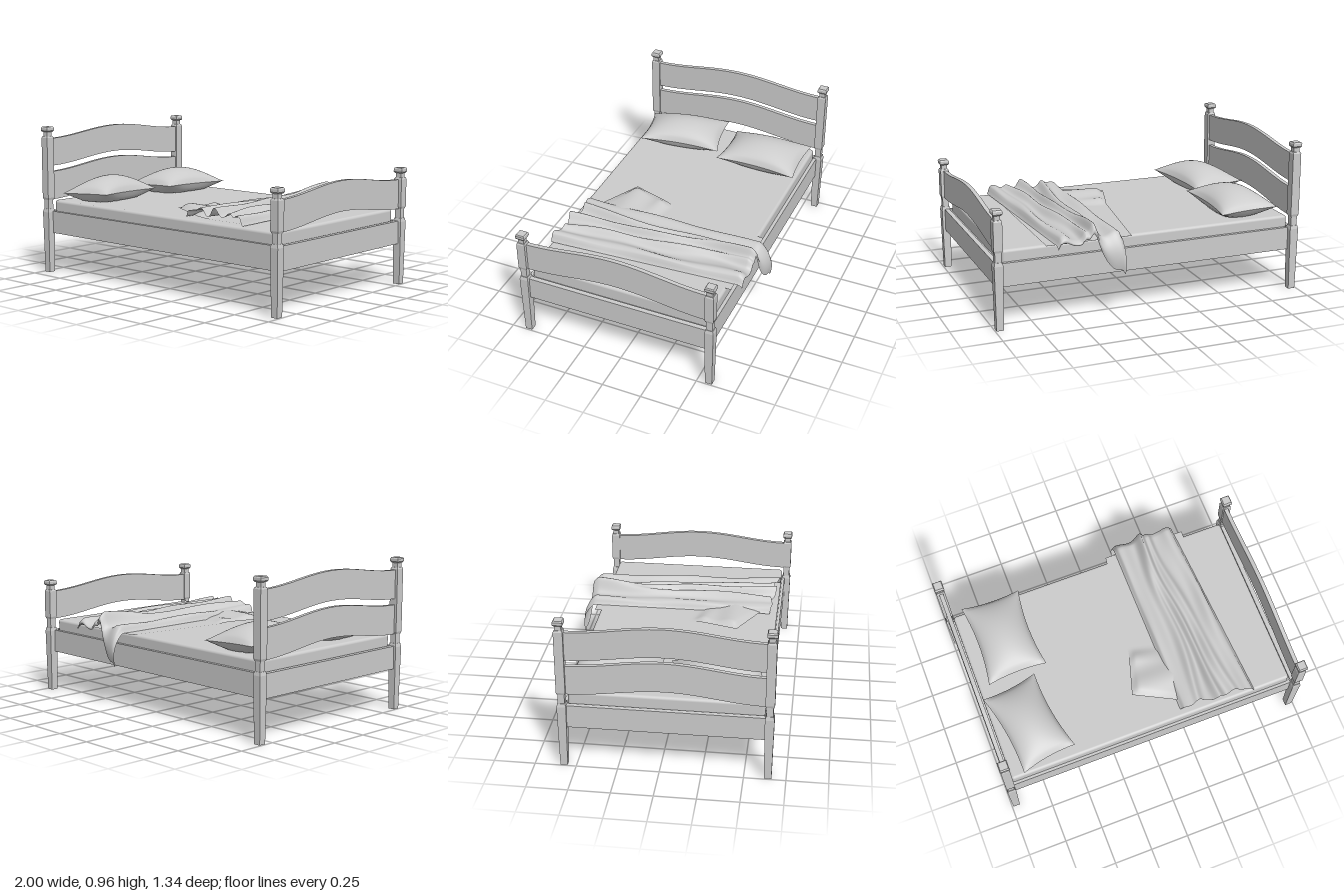
import * as THREE from 'three';
import { RoundedBoxGeometry } from 'three/addons/geometries/RoundedBoxGeometry.js';

const BACK = -0.575, FRONT = 0.642, MID = (BACK + FRONT) / 2;
const BED_TOP = 0.478;
const wood = new THREE.MeshStandardMaterial({ color: 0xcccccc, flatShading: true });
const soft = new THREE.MeshStandardMaterial({ color: 0xcccccc });
const cloth = new THREE.MeshStandardMaterial({ color: 0xcccccc, side: THREE.DoubleSide });
const { lerp, smoothstep } = THREE.MathUtils;

function add(parent, name, geometry, material, x = 0, y = 0, z = 0) {
  const mesh = new THREE.Mesh(geometry, material);
  mesh.name = name;
  mesh.position.set(x, y, z);
  parent.add(mesh);
  return mesh;
}

// Square section running from y0 (width w0) to y1 (width w1)
function square(parent, name, y0, y1, w0, w1 = w0) {
  const g = new THREE.CylinderGeometry(w1 * Math.SQRT1_2, w0 * Math.SQRT1_2, y1 - y0, 4);
  g.rotateY(Math.PI / 4);
  add(parent, name, g, wood, 0, (y0 + y1) / 2, 0);
}

// Tapered leg, neck, upper block and capital stacked into one post
function post(name, height) {
  const g = new THREE.Group();
  g.name = name;
  const top = height - 0.062;
  square(g, 'leg', 0, 0.4, 0.044, 0.056);
  square(g, 'legShoulder', 0.4, 0.422, 0.056, 0.046);
  square(g, 'lowerNeck', 0.422, 0.482, 0.04);
  square(g, 'blockFoot', 0.482, 0.496, 0.046, 0.055);
  square(g, 'block', 0.496, top - 0.01, 0.055);
  square(g, 'blockShoulder', top - 0.01, top, 0.055, 0.046);
  square(g, 'upperNeck', top, height - 0.03, 0.038);
  square(g, 'capFlare', height - 0.034, height - 0.025, 0.046, 0.06);
  square(g, 'cap', height - 0.025, height - 0.008, 0.06);
  square(g, 'capTop', height - 0.008, height, 0.06, 0.05);
  return g;
}

// Board between two posts whose edges rise in a gentle arch
function archedBoard(parent, name, x, low, high, rise) {
  const half = (FRONT - BACK) / 2 - 0.018, n = 28, points = [];
  const arch = (z) => rise * (0.5 + 0.5 * Math.cos(Math.PI * z / half));
  for (let i = 0; i <= n; i++) {
    const z = lerp(-half, half, i / n);
    points.push(new THREE.Vector2(z, low + arch(z)));
  }
  for (let i = n; i >= 0; i--) {
    const z = lerp(-half, half, i / n);
    points.push(new THREE.Vector2(z, high + arch(z)));
  }
  const g = new THREE.ExtrudeGeometry(new THREE.Shape(points), { depth: 0.026, bevelEnabled: false });
  g.translate(0, 0, -0.013);
  g.rotateY(-Math.PI / 2);
  add(parent, name, g, wood, x, 0, MID);
}

// Grid surface: u runs along +x, v along +z, fn returns [x, y, z]
function sheet(nu, nv, fn) {
  const g = new THREE.PlaneGeometry(1, 1, nu, nv);
  const p = g.attributes.position, uv = g.attributes.uv;
  for (let i = 0; i < p.count; i++) p.setXYZ(i, ...fn(uv.getX(i), 1 - uv.getY(i)));
  g.computeVertexNormals();
  return g;
}

// Pillow from its four seam corners [x, z]: back left, back right, front left, front right
function pillow(name, [a, b, c, d]) {
  const group = new THREE.Group();
  group.name = name;
  const half = (up) => sheet(28, 28, (u, v) => {
    if (!up) u = 1 - u;
    const s = 2 * u - 1, t = 2 * v - 1;
    // Edges are drawn in between the corners
    const pu = 0.5 + 0.5 * s * (1 - 0.13 * (1 - t * t));
    const pv = 0.5 + 0.5 * t * (1 - 0.06 * (1 - s * s));
    const puff = Math.pow(Math.max(0, (1 - s * s) * (1 - t * t)), 0.6);
    const seam = 0.537 + 0.008 * s * t;
    const y = up ? seam + 0.097 * puff : Math.max(BED_TOP + 0.001, seam - 0.1 * puff);
    return [
      lerp(lerp(a[0], b[0], pu), lerp(c[0], d[0], pu), pv), y,
      lerp(lerp(a[1], b[1], pu), lerp(c[1], d[1], pu), pv),
    ];
  });
  add(group, 'pillowTop', half(true), cloth);
  add(group, 'pillowBottom', half(false), cloth);
  return group;
}

const ridge = (u, centre, width) => Math.exp(-(((u - centre) / width) ** 2));

// Gathered throw: long folds pinched near the middle, one corner hanging off the back
function throwFold(u, v) {
  const tail = Math.max(0, 1 - v / 0.16);
  const w = Math.max(0, (v - 0.16) / 0.84);
  const pinch = ridge(w, 0.58, 0.25);
  const left = 0.2, right = lerp(0.615, 0.69, w);
  let x = lerp(left, right, u) + 0.012 * Math.sin(9 * w + 5 * u) * u * (1 - u) * 4;
  x = lerp(x, 0.4, 0.3 * pinch * ridge(u, 0.42, 0.22));
  const fan = (w - 0.58) * 0.22;
  let h = 0.022
    + 0.045 * ridge(u, 0.32 - fan * 0.6, 0.07)
    + 0.055 * ridge(u, 0.5 + fan * 0.5, 0.06)
    + 0.04 * ridge(u, 0.66 + fan * 0.8, 0.06)
    + 0.03 * ridge(u, 0.9, 0.09)
    + 0.02 * ridge(u, 0.1, 0.1)
    + 0.005 * Math.sin(12 * w + 16 * u);
  h *= smoothstep(u, 0, 0.05) * (1 - smoothstep(u, 0.95, 1));
  const drop = lerp(0.21, 0.02, smoothstep(u, 0.1, 0.45));
  const bulge = lerp(0.075, 0.035, smoothstep(u, 0, 0.5));
  const z = lerp(-0.595, 0.565 + 0.04 * u + 0.012 * Math.sin(15 * u), w)
    - bulge * Math.sin(tail * 2.1);
  const y = BED_TOP + 0.006 + h * (1 - 0.35 * tail) - drop * tail ** 1.3;
  return [x, y, z];
}

// Flat part of the throw lying beneath the folds, with a ruffled corner
function throwUnder(u, v) {
  const z0 = lerp(-0.58, 0.37, v);
  const left = v < 0.72 ? lerp(0.13, 0.03, v / 0.72) : lerp(0.03, -0.05, (v - 0.72) / 0.28);
  const x = lerp(left, 0.67, u);
  const z = z0 + 0.17 * v * v * Math.min(1, u * 2.2);
  const ruffle = smoothstep(v, 0.68, 0.78) * (1 - smoothstep(u, 0.4, 0.6));
  const edge = smoothstep(u, 0, 0.06) * (1 - smoothstep(v, 0.96, 1));
  const y = BED_TOP + 0.004 + ruffle * (0.008 + edge * (0.02 + 0.01 * Math.sin(28 * v + 7 * u)));
  return [x, y, z];
}

export function createModel() {
  const model = new THREE.Group();
  model.name = 'bed';

  // Posts: tall at the head (-x), short at the foot (+x)
  for (const [end, x, height] of [['head', -0.97, 0.962], ['foot', 0.97, 0.74]])
    for (const [side, z] of [['Back', BACK], ['Front', FRONT]]) {
      const p = post(`${end}Post${side}`, height);
      p.position.set(x, 0, z);
      model.add(p);
    }

  // Arched boards
  archedBoard(model, 'headboardUpper', -0.968, 0.705, 0.885, 0.053);
  archedBoard(model, 'headboardLower', -0.968, 0.482, 0.667, 0.053);
  archedBoard(model, 'footboard', 0.964, 0.482, 0.667, 0.053);

  // Rails and the closed base
  for (const [name, z] of [['railBack', -0.557], ['railFront', 0.62]])
    add(model, name, new THREE.BoxGeometry(1.9, 0.145, 0.022), wood, 0, 0.3325, z);
  for (const [name, x] of [['railHead', -0.968], ['railFoot', 0.964]])
    add(model, name, new THREE.BoxGeometry(0.03, 0.145, 1.19), wood, x, 0.3325, MID);
  add(model, 'base', new THREE.BoxGeometry(1.92, 0.13, 1.17), wood, 0, 0.327, MID);

  // Mattress
  add(model, 'mattress', new RoundedBoxGeometry(1.877, 0.17, 1.16, 4, 0.018), soft, -0.006, BED_TOP - 0.085, MID);

  // Pillows
  model.add(pillow('pillowBack', [[-0.877, -0.55], [-0.49, -0.55], [-0.877, -0.005], [-0.49, -0.008]]));
  model.add(pillow('pillowFront', [[-0.945, 0.08], [-0.585, 0.025], [-0.86, 0.615], [-0.505, 0.56]]));

  // Throw blanket
  const blanket = new THREE.Group();
  blanket.name = 'throwBlanket';
  add(blanket, 'throwFolds', sheet(72, 80, throwFold), cloth);
  add(blanket, 'throwUnderlayer', sheet(48, 60, throwUnder), cloth);
  model.add(blanket);
  return model;
}
